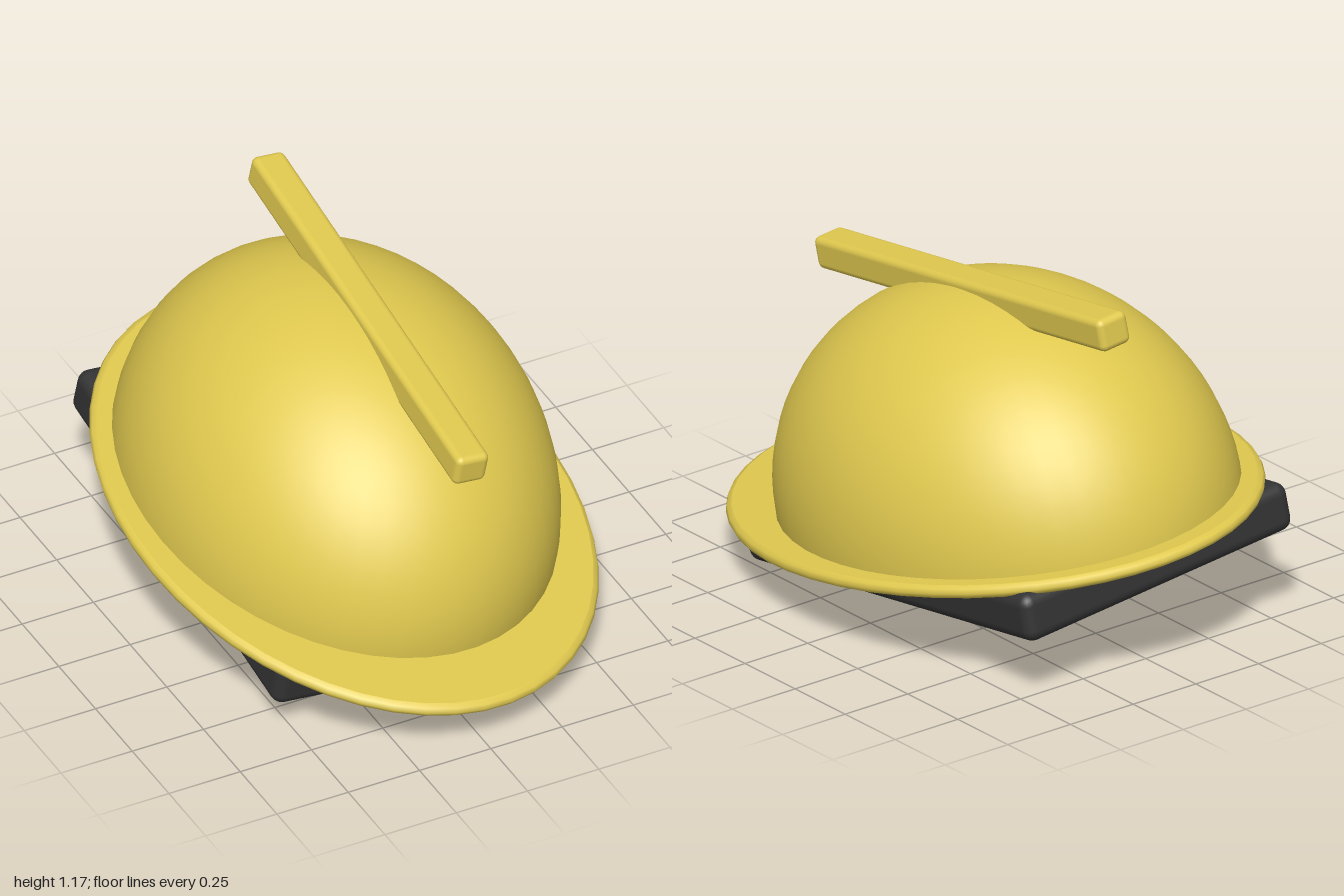
import * as THREE from 'three';
import { RoundedBoxGeometry } from 'three/addons/geometries/RoundedBoxGeometry.js';

export function createModel() {
  const model = new THREE.Group();
  model.name = 'tiltedHelmet';
  const yellow = new THREE.MeshStandardMaterial({ color: 0xe0c94f });
  yellow.name = 'helmet yellow';
  const charcoal = new THREE.MeshStandardMaterial({ color: 0x333333 });
  charcoal.name = 'charcoal';

  // Every part shares the same nose-down pitch and sideways roll.
  const pitch = THREE.MathUtils.degToRad(8.6);
  const roll = THREE.MathUtils.degToRad(-6);
  const add = (name, geometry, material, x, y, z) => {
    const mesh = new THREE.Mesh(geometry, material);
    mesh.name = name;
    mesh.position.set(x, y, z);
    mesh.rotation.set(pitch, 0, roll, 'ZYX');
    model.add(mesh);
  };

  // Dome: half ellipsoid, longer from front to back, closed below by the brim
  const dome = new THREE.SphereGeometry(1, 48, 20, 0, Math.PI * 2, 0, Math.PI / 2);
  dome.scale(0.668, 0.71, 0.84);
  add('dome', dome, yellow, 0.005, 0.335, -0.07);

  // Brim: thin oval disc with a softened edge; doubled points keep faces crisp
  const profile = [
    [0, -0.022], [0.975, -0.022], [0.975, -0.022], [0.993, -0.014], [1, 0],
    [0.993, 0.014], [0.975, 0.022], [0.975, 0.022], [0, 0.022],
  ].map(([r, y]) => new THREE.Vector2(r, y));
  const brim = new THREE.LatheGeometry(profile, 48);
  brim.scale(0.747, 1, 1.008);
  add('brim', brim, yellow, 0, 0.302, 0);

  // Crest: straight bar along the crown, a little off centre
  add('crestBar', new RoundedBoxGeometry(0.115, 0.108, 1.48, 3, 0.022), yellow, 0.07, 1.005, 0.03);

  // Base: rounded slab under the brim
  add('baseSlab', new RoundedBoxGeometry(1.065, 0.16, 1.47, 3, 0.04), charcoal, -0.02, 0.23, -0.085);

  return model;
}
